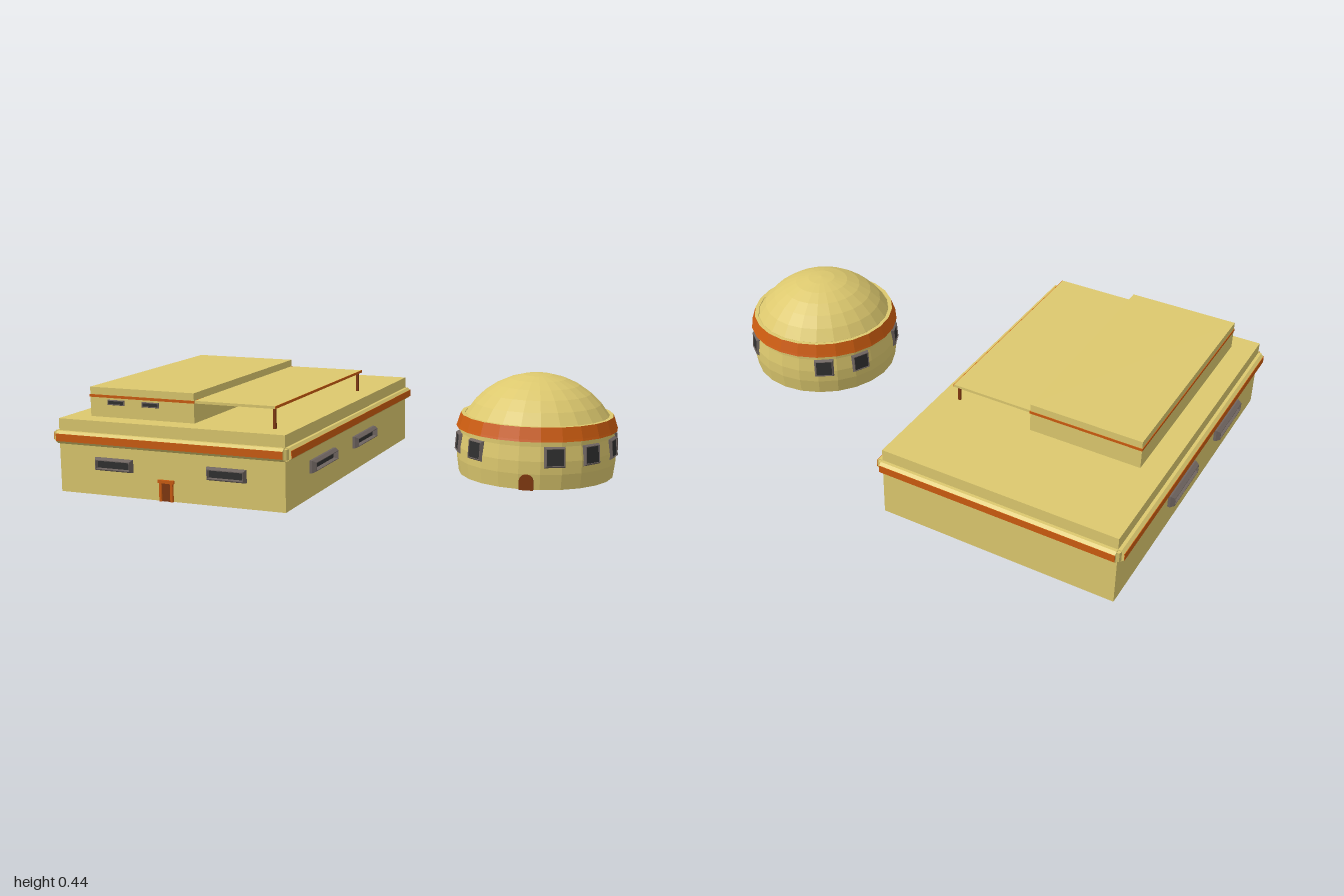
import * as THREE from 'three';

const mat = (color, side = THREE.FrontSide) =>
  new THREE.MeshStandardMaterial({ color, flatShading: true, side });
const SAND = mat(0xdcc86e), ORANGE = mat(0xcc5c10), BROWN = mat(0x80380f);
const FRAME = mat(0x6e6460, THREE.DoubleSide), PANE = mat(0x303030), FLOOR = mat(0xaaaaaa);

function add(parent, name, geometry, material, x = 0, y = 0, z = 0) {
  const mesh = new THREE.Mesh(geometry, material);
  mesh.name = name;
  mesh.position.set(x, y, z);
  parent.add(mesh);
  return mesh;
}

// Box given by its minimum and maximum corners
function block(parent, name, material, [x0, y0, z0], [x1, y1, z1]) {
  return add(parent, name, new THREE.BoxGeometry(x1 - x0, y1 - y0, z1 - z0), material,
    (x0 + x1) / 2, (y0 + y1) / 2, (z0 + z1) / 2);
}

// Group turned so that its local +z points outwards from a wall
function facing(parent, name, x, y, z, angle) {
  const g = new THREE.Group();
  g.name = name;
  g.position.set(x, y, z);
  g.rotation.y = angle;
  parent.add(g);
  return g;
}

// Skin through rectangular rings [halfWidth, halfHeight, z]
function rectLoft(rings) {
  const pos = [], idx = [];
  for (const [w, h, z] of rings) pos.push(-w, -h, z, w, -h, z, w, h, z, -w, h, z);
  for (let r = 0; r < rings.length - 1; r++)
    for (let i = 0; i < 4; i++) {
      const a = r * 4 + i, b = r * 4 + (i + 1) % 4;
      idx.push(a, b, b + 4, a, b + 4, a + 4);
    }
  const g = new THREE.BufferGeometry();
  g.setAttribute('position', new THREE.Float32BufferAttribute(pos, 3));
  g.setIndex(idx);
  g.computeVertexNormals();
  return g;
}

// Window with a tapered protruding frame around a recessed pane
function windowUnit(parent, x, y, z, angle, w, h, depth, border, paneZ) {
  const g = facing(parent, 'window', x, y, z, angle);
  const a = w / 2, b = h / 2, t = depth * 0.3;
  add(g, 'windowFrame', rectLoft([[a, b, 0], [a, b, depth * 0.4], [a - t, b - t, depth],
    [a - border, b - border, depth], [a - border, b - border, 0]]), FRAME);
  add(g, 'windowPane', new THREE.PlaneGeometry(w - border * 2, h - border * 2), PANE, 0, 0, paneZ);
  return g;
}

// Ledge of the given length running along a wall, with a painted stripe
function ledge(parent, x, z, angle, length) {
  const g = facing(parent, 'wallLedge', x, 0, z, angle);
  const profile = new THREE.Shape([[0, 0.184], [0.012, 0.188], [0.023, 0.198], [0.023, 0.226],
    [0.012, 0.235], [0, 0.235]].map(p => new THREE.Vector2(...p)));
  const geo = new THREE.ExtrudeGeometry(profile, { depth: length, bevelEnabled: false });
  geo.translate(0, 0, -length / 2).rotateY(-Math.PI / 2);
  add(g, 'ledgeBody', geo, SAND);
  block(g, 'ledgeStripe', ORANGE, [-length / 2, 0.198, 0.022], [length / 2, 0.226, 0.025]);
}

function mainBuilding() {
  const g = new THREE.Group();
  g.name = 'mainBuilding';
  const L = -0.975, R = -0.055, Z = 0.675, mid = (L + R) / 2;
  block(g, 'mainBlock', SAND, [L, 0, -Z], [R, 0.28, Z]);

  // Ledges and corner knobs
  ledge(g, mid, Z, 0, R - L);
  ledge(g, mid, -Z, Math.PI, R - L);
  ledge(g, R, 0, Math.PI / 2, Z * 2);
  ledge(g, L, 0, -Math.PI / 2, Z * 2);
  for (const x of [L, R])
    for (const z of [-Z, Z])
      add(g, 'ledgeCorner', new THREE.CylinderGeometry(0.014, 0.014, 0.038, 8), SAND, x, 0.212, z);

  // Windows on the front and both long sides
  for (const x of [-0.742, -0.283]) windowUnit(g, x, 0.12, Z, 0, 0.156, 0.048, 0.02, 0.009, 0.004);
  for (const z of [0.335, -0.115]) {
    windowUnit(g, R, 0.118, z, Math.PI / 2, 0.24, 0.048, 0.025, 0.01, 0.004);
    windowUnit(g, L, 0.118, z, -Math.PI / 2, 0.24, 0.048, 0.025, 0.01, 0.004);
  }

  // Front door
  block(g, 'doorLeaf', BROWN, [-0.55, 0, Z - 0.01], [-0.505, 0.07, Z + 0.004]);
  for (const x of [-0.555, -0.51]) block(g, 'doorJamb', ORANGE, [x, 0, Z - 0.01], [x + 0.01, 0.07, Z + 0.009]);
  block(g, 'doorLintel', ORANGE, [-0.56, 0.068, Z - 0.01], [-0.495, 0.08, Z + 0.009]);

  // Upper storey with a stripe and two small windows
  block(g, 'upperBlock', SAND, [-0.885, 0.28, -0.303], [-0.45, 0.392, 0.595]);
  block(g, 'upperStripe', ORANGE, [-0.887, 0.354, -0.305], [-0.448, 0.364, 0.597]);
  for (const x of [-0.775, -0.63]) windowUnit(g, x, 0.337, 0.595, 0, 0.072, 0.02, 0.004, 0.004, 0.002);

  // Canopy on two posts
  block(g, 'canopy', SAND, [-0.45, 0.354, -0.3], [-0.128, 0.364, 0.592]);
  block(g, 'canopyEdge', ORANGE, [-0.128, 0.354, -0.3], [-0.126, 0.364, 0.592]);
  for (const z of [-0.268, 0.583])
    block(g, 'canopyPost', BROWN, [-0.139, 0.28, z - 0.005], [-0.129, 0.355, z + 0.005]);
  return g;
}

function domeBuilding() {
  const g = new THREE.Group();
  g.name = 'domeBuilding';
  g.position.set(0.69, 0, 0);
  const SIDES = 24;
  const lathe = (name, points, material) =>
    add(g, name, new THREE.LatheGeometry(points.map(p => new THREE.Vector2(...p)), SIDES), material);

  // Bulging wall and its floor
  lathe('domeWall', [[0.292, 0.06], [0.3, 0.118], [0.3, 0.165], [0.292, 0.218], [0.292, 0.24]], SAND);
  const floor = add(g, 'domeFloor', new THREE.CircleGeometry(0.292, SIDES), FLOOR, 0, 0.06, 0);
  floor.rotation.x = Math.PI / 2;

  // Sloping painted ring with a sand-coloured rim
  lathe('domeRing', [[0.28, 0.232], [0.304, 0.237], [0.301, 0.245], [0.287, 0.288]], ORANGE);
  lathe('domeRim', [[0.287, 0.288], [0.272, 0.288], [0.268, 0.27]], SAND);

  // Roof: cap of a sphere
  const cap = [], radius = 0.315, spread = Math.asin(0.27 / radius);
  for (let i = 0; i <= 6; i++) {
    const a = spread * (1 - i / 6);
    cap.push([radius * Math.sin(a), 0.125 + radius * Math.cos(a)]);
  }
  lathe('domeRoof', [[0.272, 0.265], ...cap], SAND);

  // Windows around the wall
  for (const deg of [-66, -36, 25, 54, 83, 112, 142, -145, -115]) {
    const a = THREE.MathUtils.degToRad(deg);
    const w = windowUnit(g, Math.sin(a) * 0.287, 0.18, Math.cos(a) * 0.287, a, 0.078, 0.076, 0.018, 0.008, 0.014);
    w.rotation.order = 'YXZ';
    w.rotation.x = -0.08;
  }

  // Arched door
  const arch = (w, h) => {
    const s = new THREE.Shape();
    s.moveTo(-w, 0.06);
    s.lineTo(w, 0.06);
    s.lineTo(w, h - w);
    s.absarc(0, h - w, w, 0, Math.PI, false);
    return s;
  };
  const door = facing(g, 'domeDoor', 0, 0, 0, THREE.MathUtils.degToRad(5.5));
  const solid = (s, depth) => new THREE.ExtrudeGeometry(s, { depth, bevelEnabled: false, curveSegments: 8 });
  const surround = arch(0.026, 0.118);
  surround.holes.push(arch(0.019, 0.111));
  add(door, 'domeDoorSurround', solid(surround, 0.054), BROWN, 0, 0, 0.25);
  add(door, 'domeDoorLeaf', solid(arch(0.02, 0.112), 0.051), BROWN, 0, 0, 0.25);
  return g;
}

export function createModel() {
  const model = new THREE.Group();
  model.name = 'desertHouses';
  model.add(mainBuilding(), domeBuilding());
  return model;
}
